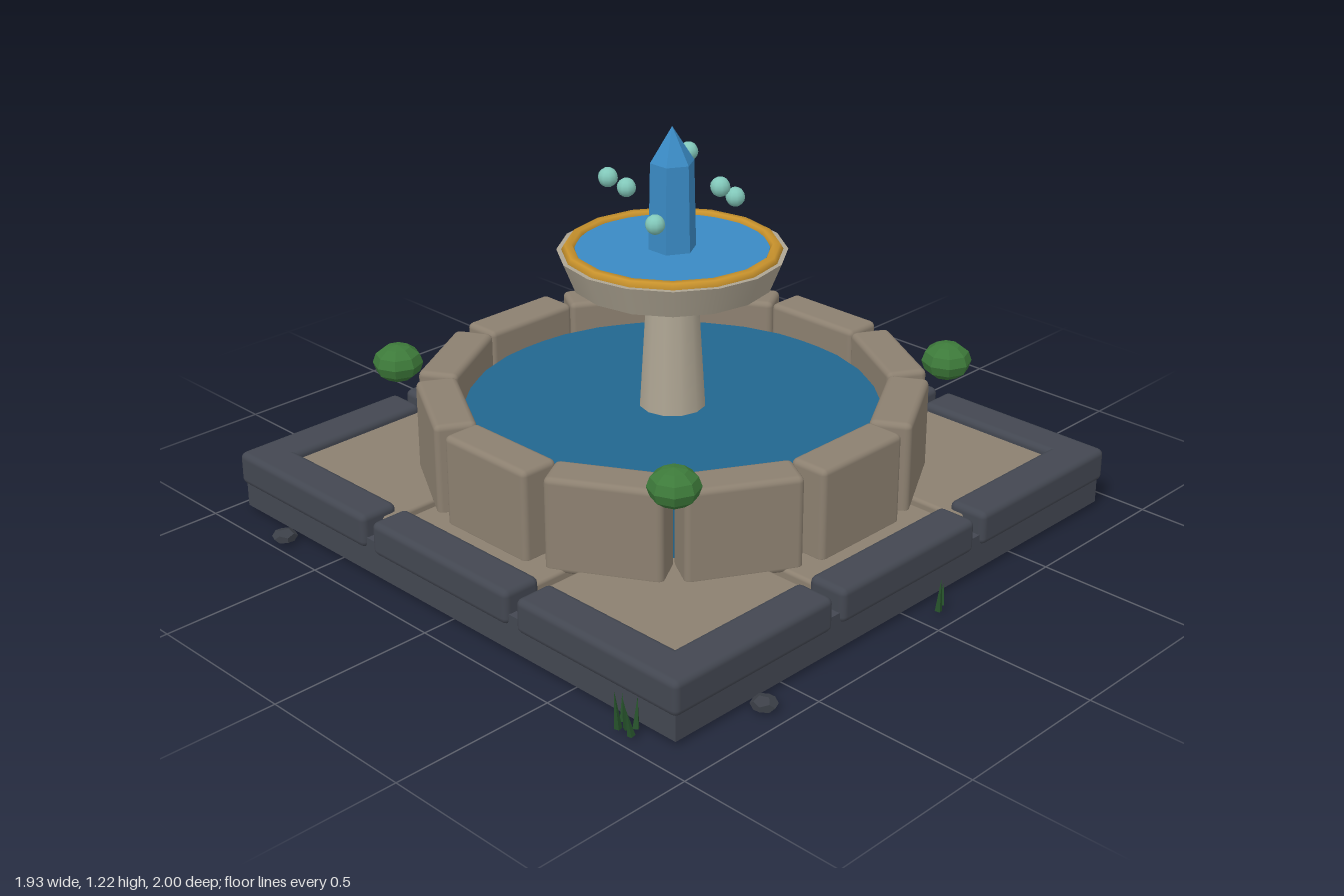
import * as THREE from 'three';
import { RoundedBoxGeometry } from 'three/addons/geometries/RoundedBoxGeometry.js';

const material = (name, color, flatShading = false) => {
  const m = new THREE.MeshStandardMaterial({ color, flatShading });
  m.name = name;
  return m;
};

export function createModel() {
  const slate = material('slate', 0x434751);
  const sandstone = material('sandstone', 0x8c8070);
  const paleStone = material('pale stone', 0xaea593);
  const gold = material('gold', 0xc8922c);
  const deepWater = material('deep water', 0x22668f);
  const brightWater = material('bright water', 0x3a8ac4, true);
  const dropBlue = material('droplet blue', 0x82c8ba);
  const leaf = material('leaf green', 0x3d7a3a, true);
  const grassGreen = material('grass green', 0x25502a, true);
  const rockGrey = material('rock grey', 0x3c4048, true);

  const model = new THREE.Group();
  model.name = 'fountain';
  const fountain = new THREE.Group();
  fountain.name = 'fountainBody';
  fountain.position.set(-0.035, 0, -0.005);
  model.add(fountain);

  const add = (parent, name, geometry, mat, x = 0, y = 0, z = 0) => {
    const mesh = new THREE.Mesh(geometry, mat);
    mesh.name = name;
    mesh.position.set(x, y, z);
    parent.add(mesh);
    return mesh;
  };
  const block = (w, h, d, r) => new RoundedBoxGeometry(w, h, d, 2, r);

  // Foundation slab and 3 x 3 paving
  add(fountain, 'foundation', new THREE.BoxGeometry(1.83, 0.11, 1.83), slate, 0, 0.075, 0);
  const tile = block(0.552, 0.07, 0.552, 0.012);
  for (const i of [-1, 0, 1]) {
    for (const j of [-1, 0, 1]) add(fountain, 'pavingTile', tile, sandstone, i * 0.58, 0.14, j * 0.58);
  }

  // Kerb: three stones along each side, overlapping at the corners
  const kerbEnd = block(0.603, 0.105, 0.127, 0.02);
  const kerbMiddle = block(0.577, 0.105, 0.127, 0.02);
  for (let side = 0; side < 4; side++) {
    const kerb = new THREE.Group();
    kerb.name = 'kerbSide';
    kerb.rotation.y = side * Math.PI / 2;
    fountain.add(kerb);
    for (const i of [-1, 0, 1]) {
      add(kerb, 'kerbStone', i ? kerbEnd : kerbMiddle, slate, i * 0.6265, 0.1475, 0.8645);
    }
  }

  // Ring of twelve pool stones
  const poolStone = block(0.338, 0.29, 0.125, 0.018);
  for (let i = 0; i < 12; i++) {
    const a = i * Math.PI / 6;
    const stone = add(fountain, 'poolStone', poolStone, sandstone,
      Math.sin(a) * 0.684, 0.305, Math.cos(a) * 0.684);
    stone.rotation.y = a;
  }
  add(fountain, 'poolWater', new THREE.CylinderGeometry(0.625, 0.625, 0.19, 32), deepWater, 0, 0.265, 0);

  // Pedestal, upper bowl and gilded rim
  add(fountain, 'pedestal', new THREE.CylinderGeometry(0.075, 0.102, 0.44, 12), paleStone, 0, 0.56, 0);
  add(fountain, 'upperBowl', new THREE.CylinderGeometry(0.338, 0.302, 0.09, 16), paleStone, 0, 0.807, 0);
  const rim = add(fountain, 'bowlRim', new THREE.TorusGeometry(0.304, 0.021, 6, 16), gold, 0, 0.85, 0);
  rim.rotation.x = -Math.PI / 2;
  add(fountain, 'bowlWater', new THREE.CylinderGeometry(0.285, 0.285, 0.015, 24), brightWater, 0, 0.85, 0);

  // Six-sided water crystal, corners on the x axis
  const crystal = new THREE.Group();
  crystal.name = 'waterCrystal';
  crystal.rotation.y = Math.PI / 6;
  fountain.add(crystal);
  add(crystal, 'crystalShaft', new THREE.CylinderGeometry(0.066, 0.072, 0.27, 6, 1, true), brightWater, 0, 0.985, 0);
  add(crystal, 'crystalTip', new THREE.ConeGeometry(0.066, 0.106, 6, 1, true), brightWater, 0, 1.173, 0);

  // Droplets at alternating heights
  const drop = new THREE.SphereGeometry(0.029, 10, 8);
  for (let i = 0; i < 6; i++) {
    const a = i * Math.PI / 3;
    add(fountain, 'droplet', drop, dropBlue, Math.cos(a) * 0.19, i % 2 ? 0.995 : 1.09, Math.sin(a) * 0.19);
  }

  // Clipped bushes at the corners
  const bush = new THREE.SphereGeometry(0.075, 8, 6);
  for (const x of [-1, 1]) {
    for (const z of [-1, 1]) add(fountain, 'bush', bush, leaf, x * 0.577, 0.495, z * 0.577).scale.y = 0.75;
  }

  // Scattered rocks: x, z, size, turn
  const rock = new THREE.DodecahedronGeometry(1, 0);
  for (const [x, z, s, turn] of [
    [0.925, 0.63, 0.038, 0.4], [-0.7, 0.958, 0.038, 1.2],
    [0.566, -0.963, 0.042, 2.1], [0.75, -0.963, 0.04, 2.9],
  ]) {
    const r = add(model, 'rock', rock, rockGrey, x, 0.027, z);
    r.scale.set(s, s * 0.55, s);
    r.rotation.y = turn;
  }

  // Grass tufts: x, z, number of blades, height
  const blade = new THREE.ConeGeometry(0.011, 1, 4);
  blade.translate(0, 0.5, 0);
  for (const [x, z, count, h] of [
    [0.748, 0.952, 5, 0.1], [0.94, -0.08, 2, 0.09], [-0.46, -0.957, 3, 0.08],
    [-0.05, -0.957, 6, 0.09], [0.24, -0.957, 3, 0.07],
  ]) {
    const tuft = new THREE.Group();
    tuft.name = 'grassTuft';
    tuft.position.set(x, 0.02, z);
    model.add(tuft);
    for (let i = 0; i < count; i++) {
      const t = i - (count - 1) / 2;
      const b = add(tuft, 'grassBlade', blade, grassGreen, t * 0.016, 0, ((i * 2) % 3 - 1) * 0.016);
      b.scale.y = h * (0.75 + 0.25 * ((i * 3) % 4) / 2);
      b.rotation.set(((i % 3) - 1) * 0.15, i, -t * 0.08);
    }
  }
  return model;
}
